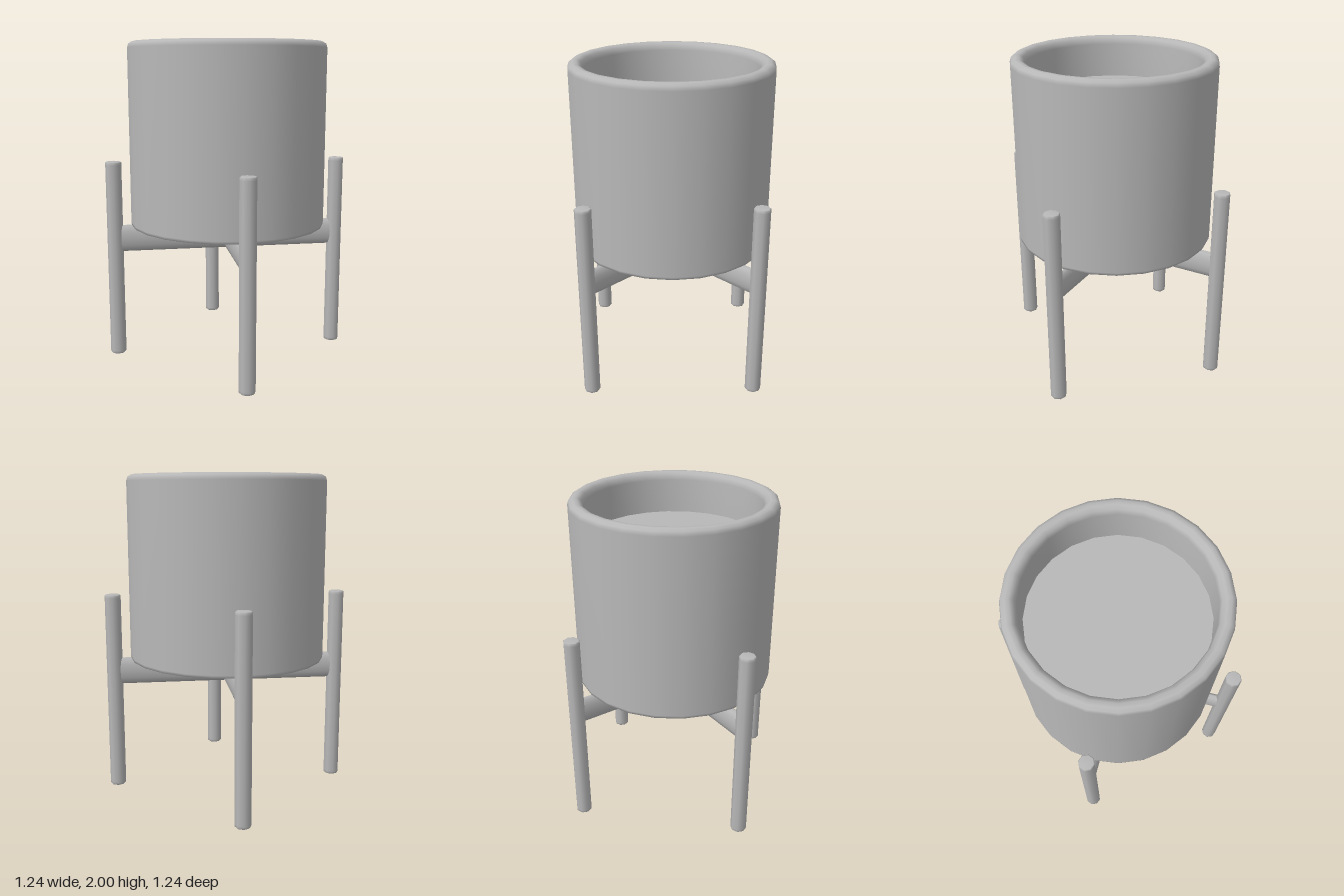
import * as THREE from 'three';

export function createModel() {
  const group = new THREE.Group();
  const grey = new THREE.MeshStandardMaterial({ color: 0xb8b8b8 });
  grey.name = 'grey';

  const add = (name, geometry) => {
    const mesh = new THREE.Mesh(geometry, grey);
    mesh.name = name;
    group.add(mesh);
    return mesh;
  };
  const lathe = (points, sides) =>
    new THREE.LatheGeometry(points.map(([x, y]) => new THREE.Vector2(x, y)), sides);

  // Pot: underside, outer wall and softly rounded rim, then the inner wall
  add('pot', lathe([
    [0, 0.85], [0.605, 0.85], [0.618, 0.853], [0.62, 0.87],
    [0.62, 1.96], [0.612, 1.985], [0.59, 1.998], [0.565, 1.998],
    [0.54, 1.985], [0.53, 1.95], [0.525, 1.73],
  ], 24));

  // Flat surface filling the pot
  const filling = add('filling', new THREE.CircleGeometry(0.527, 24));
  filling.rotation.x = -Math.PI / 2;
  filling.position.y = 1.74;

  // Four upright legs at the corners
  const legProfile = [
    [0, 0], [0.044, 0], [0.05, 0.006], [0.05, 0.02],
    [0.05, 1.24], [0.05, 1.254], [0.044, 1.26], [0, 1.26],
  ];
  for (const x of [-1, 1]) {
    for (const z of [-1, 1]) {
      const leg = add('leg', lathe(legProfile, 8));
      leg.position.set(x * 0.512, 0, z * 0.512);
    }
  }

  // Two crossed oval bars joining opposite legs
  for (const turn of [-1, 1]) {
    const geometry = new THREE.CylinderGeometry(1, 1, 1.44, 12);
    geometry.rotateZ(Math.PI / 2);
    geometry.scale(1, 0.086, 0.033);
    const bar = add('crossBar', geometry);
    bar.position.y = 0.766;
    bar.rotation.y = turn * Math.PI / 4;
  }

  return group;
}
